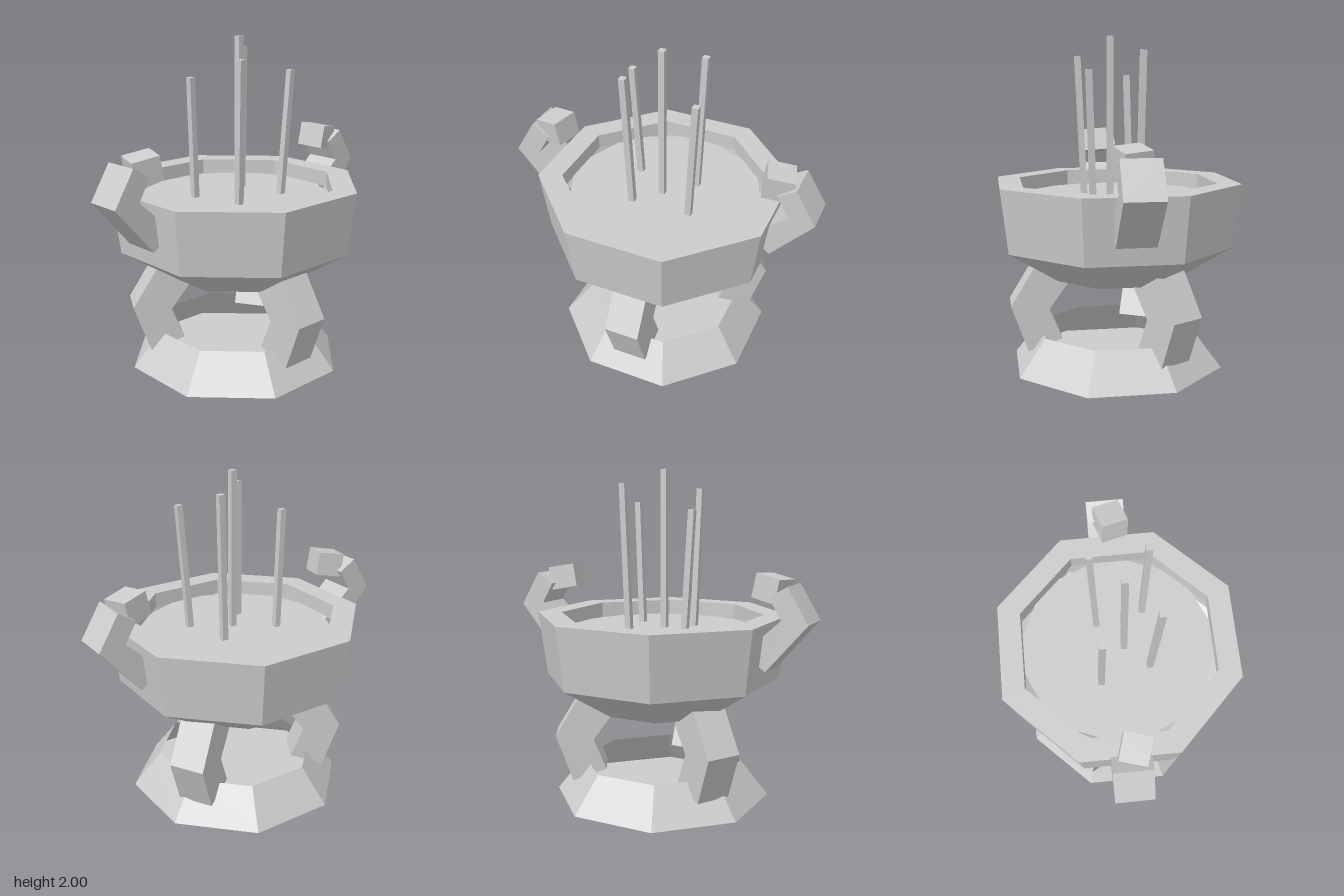
import * as THREE from 'three';

const stone = new THREE.MeshStandardMaterial({ color: 0xcccccc, flatShading: true, side: THREE.DoubleSide });
stone.name = 'grey stone';

function part(name, geometry) {
  const flat = geometry.index ? geometry.toNonIndexed() : geometry;
  flat.computeVertexNormals();
  const mesh = new THREE.Mesh(flat, stone);
  mesh.name = name;
  return mesh;
}

// Eight-sided shell; the profile gives [distance to the flat side, height]
function octagon(name, profile) {
  const k = 1 / Math.cos(Math.PI / 8);
  const points = profile.map(([a, y]) => new THREE.Vector2(a * k, y));
  return part(name, new THREE.LatheGeometry(points, 8, Math.PI / 8));
}

// Bent bar: an outline in x/y given thickness centred on z
function bentBar(name, outline, width) {
  const shape = new THREE.Shape(outline.map(([x, y]) => new THREE.Vector2(x, y)));
  const geometry = new THREE.ExtrudeGeometry(shape, { depth: width, bevelEnabled: false });
  return part(name, geometry.translate(0, 0, -width / 2));
}

export function createModel() {
  const model = new THREE.Group();
  model.name = 'incenseBurner';

  // Hollow foot with a floor and an open top
  model.add(octagon('base', [[0, 0], [0.612, 0], [0.455, 0.215]]));

  // Bowl shell, open below, with a flat rim and a short inner lip
  model.add(octagon('bowl', [[0.37, 0.555], [0.663, 0.753], [0.708, 1.135], [0.573, 1.135], [0.573, 1.04]]));

  // Ash surface, turned half a side against the bowl
  const ash = part('ash', new THREE.CircleGeometry(0.62, 8).rotateX(-Math.PI / 2));
  ash.position.y = 1.045;
  model.add(ash);

  // Three bent legs, one of them at the front
  const legOutline = [[0.55, 0.115], [0.652, 0.398], [0.5, 0.65], [0.305, 0.535], [0.422, 0.372], [0.345, 0.185]];
  for (let i = 0; i < 3; i++) {
    const leg = bentBar('leg', legOutline, 0.215);
    leg.rotation.y = -Math.PI / 2 + (i * Math.PI * 2) / 3;
    model.add(leg);
  }

  // Bent handles with a tilted block at each end
  const armOutline = [[0.715, 0.863], [0.96, 1.148], [0.835, 1.355], [0.728, 1.29], [0.802, 1.163], [0.58, 0.96]];
  for (const side of [1, -1]) {
    const arm = bentBar(side > 0 ? 'leftHandle' : 'rightHandle', armOutline, 0.226);
    if (side < 0) arm.rotation.y = Math.PI;
    model.add(arm);

    const block = part(side > 0 ? 'leftHandleEnd' : 'rightHandleEnd', new THREE.BoxGeometry(0.165, 0.145, 0.165));
    block.position.set(side * 0.708, 1.325, 0.022);
    block.rotation.set(0.08, side * 0.28, side * -0.2);
    model.add(block);
  }

  // Incense sticks: foot and tip of each
  const sticks = [
    [[0, 1.03, 0.035], [0, 2, 0.035]],
    [[0.162, 1.03, -0.118], [0.19, 1.917, -0.133]],
    [[0.224, 1.03, 0.168], [0.267, 1.8, 0.196]],
    [[-0.133, 1.03, 0.178], [-0.154, 1.885, 0.214]],
    [[-0.214, 1.03, -0.123], [-0.252, 1.768, -0.107]],
  ];
  const up = new THREE.Vector3(0, 1, 0);
  for (const [foot, tip] of sticks) {
    const a = new THREE.Vector3(...foot);
    const b = new THREE.Vector3(...tip);
    const stick = part('incenseStick', new THREE.BoxGeometry(0.037, a.distanceTo(b), 0.037));
    stick.position.lerpVectors(a, b, 0.5);
    stick.quaternion.setFromUnitVectors(up, b.sub(a).normalize());
    model.add(stick);
  }
  return model;
}
